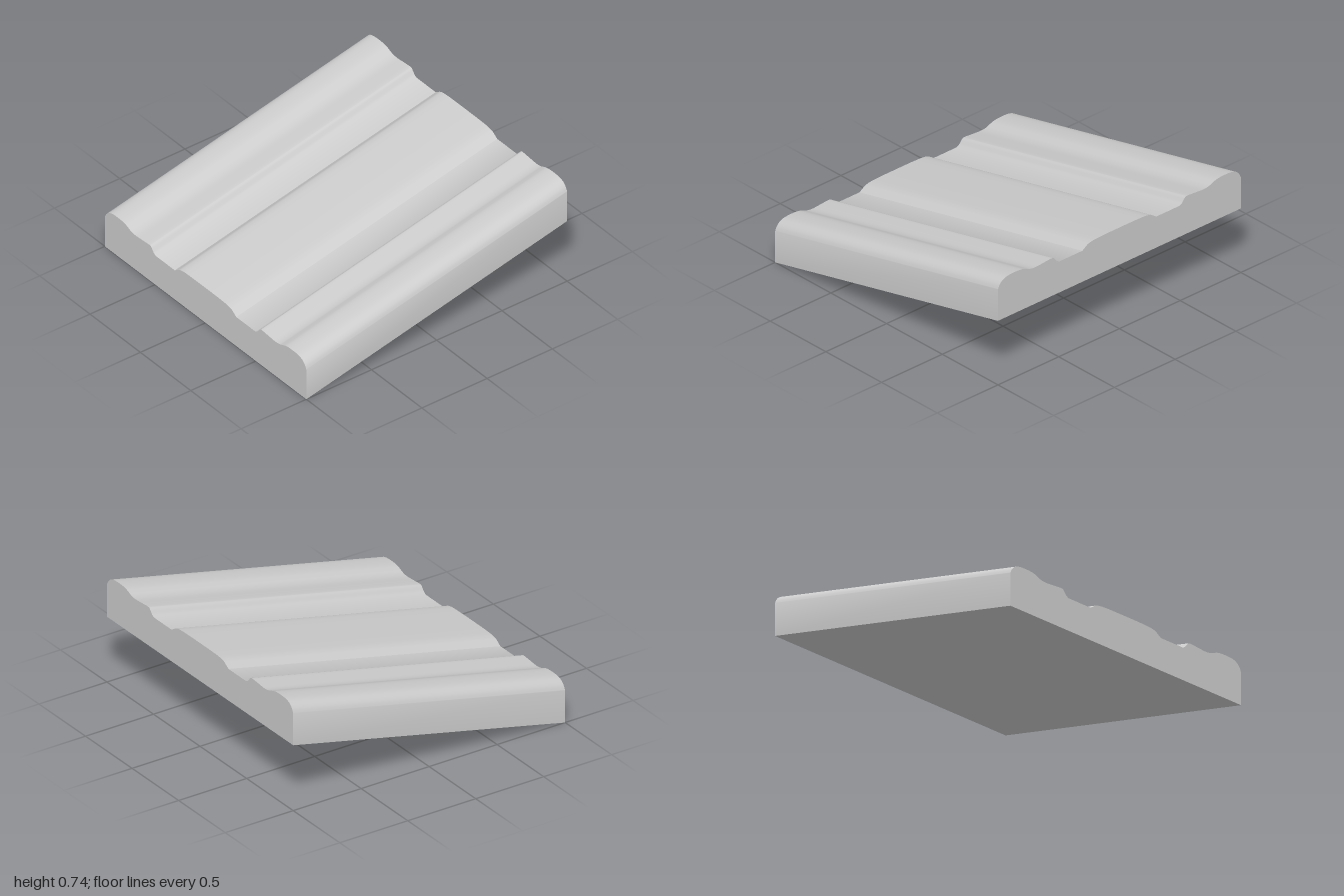
import * as THREE from 'three';
import { toCreasedNormals } from 'three/addons/utils/BufferGeometryUtils.js';

const RISE = 0.225; // climb per unit of x

export function createModel() {
  const group = new THREE.Group();
  group.name = 'slopedMoulding';
  const grey = new THREE.MeshStandardMaterial({ color: 0xcccccc });
  grey.name = 'plainGrey';

  // Half of the moulded profile: outer bead, hollow, small step
  const bead = [
    [1, 0.22], [0.985, 0.25], [0.957, 0.275], [0.915, 0.287], [0.85, 0.289], [0.8, 0.284],
    [0.765, 0.272], [0.735, 0.261], [0.69, 0.256], [0.62, 0.261], [0.56, 0.265],
    [0.54, 0.259], [0.515, 0.23], [0.495, 0.218],
  ];
  // Half of the broad raised centre
  const centre = [[0.305, 0.218], [0.285, 0.231], [0.26, 0.247], [0.23, 0.255], [0.19, 0.259], [0.1, 0.261]];
  const points = (list) => list.map(([u, v]) => new THREE.Vector2(u, v));
  const mirrored = (list) => list.map(([u, v]) => [-u, v]).reverse();
  const leftBead = mirrored(bead);

  const profile = new THREE.Shape();
  profile.moveTo(-1, 0);
  profile.lineTo(1, 0);
  profile.lineTo(...bead[0]);
  profile.splineThru(points(bead.slice(1)));
  profile.lineTo(...centre[0]);
  profile.splineThru(points([...centre.slice(1), ...mirrored(centre)]));
  profile.lineTo(...leftBead[0]);
  profile.splineThru(points(leftBead.slice(1)));
  profile.closePath();

  // Run the profile along x, then shear it so both ends stay vertical
  const geometry = new THREE.ExtrudeGeometry(profile, { depth: 2, bevelEnabled: false, curveSegments: 4 });
  geometry.translate(0, 0, -1).rotateY(Math.PI / 2);
  const position = geometry.attributes.position;
  for (let i = 0; i < position.count; i++) {
    position.setY(i, position.getY(i) + RISE * (position.getX(i) + 1));
  }

  const board = new THREE.Mesh(toCreasedNormals(geometry, 0.5), grey);
  board.name = 'mouldedBoard';
  group.add(board);
  return group;
}
